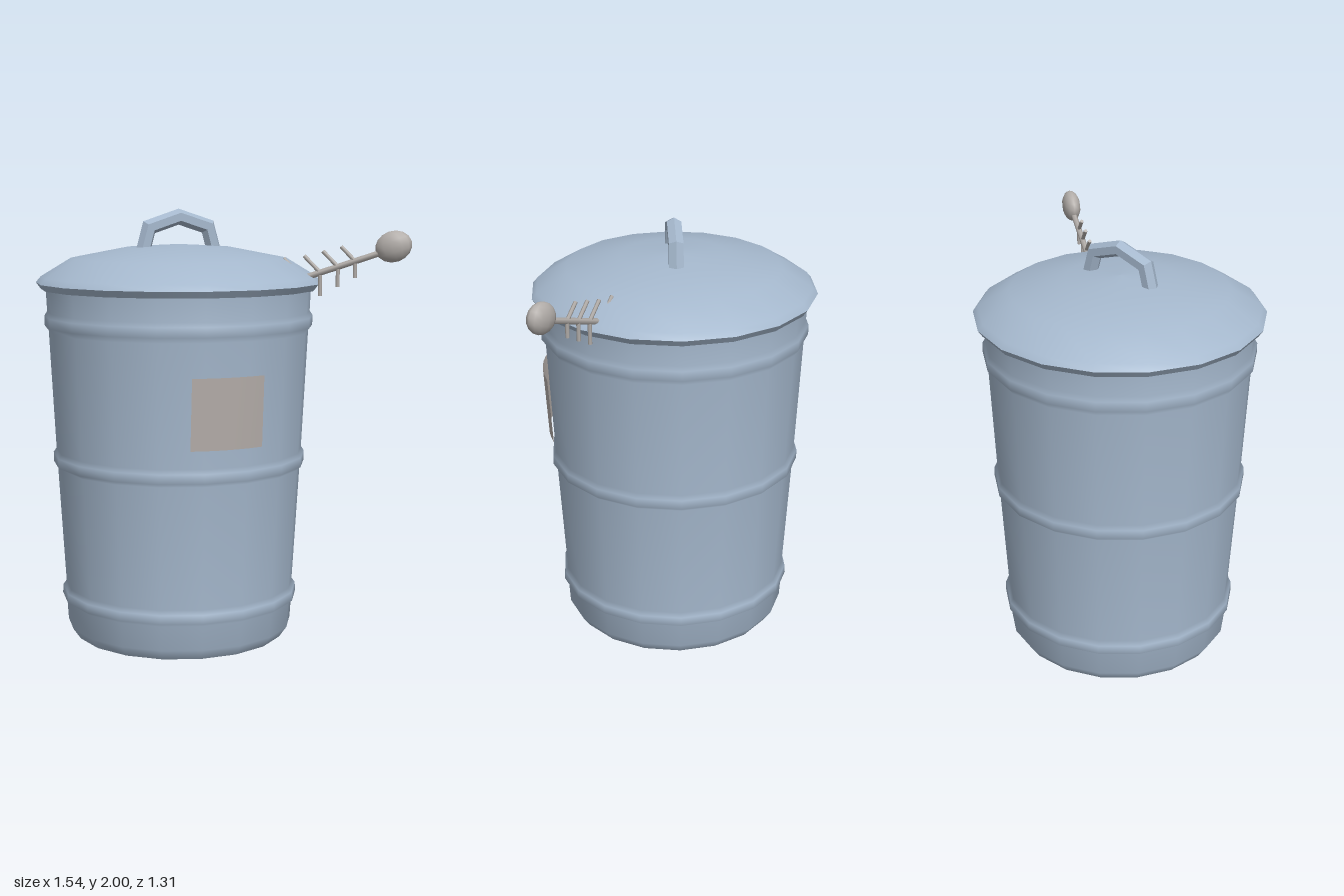
import * as THREE from 'three';

const V2 = (a) => a.map(([r, y]) => new THREE.Vector2(r, y));

export function createModel() {
  const model = new THREE.Group();
  const metal = new THREE.MeshStandardMaterial({ color: 0xa5b8cd });
  metal.name = 'galvanised blue metal';
  const handleMetal = new THREE.MeshStandardMaterial({ color: 0xa5b8cd, flatShading: true });
  handleMetal.name = 'faceted blue metal';
  const paper = new THREE.MeshStandardMaterial({ color: 0xb5aeaa, side: THREE.DoubleSide });
  paper.name = 'label grey';
  const bone = new THREE.MeshStandardMaterial({ color: 0xb3aeaa });
  bone.name = 'bone grey';

  const add = (parent, name, geo, mat) => {
    const m = new THREE.Mesh(geo, mat);
    m.name = name;
    parent.add(m);
    return m;
  };
  const can = new THREE.Group();
  can.name = 'can';
  can.position.set(-0.107, 0, -0.003);
  model.add(can);
  // 18-sided surface of revolution with a corner on the x axis
  const lathe = (name, pts) =>
    add(can, name, new THREE.LatheGeometry(V2(pts), 18, Math.PI / 2), metal);

  // Tapered body with three raised hoops
  lathe('body', [
    [0.498, 0], [0.533, 0.05], [0.54, 0.165], [0.559, 0.18], [0.556, 0.22], [0.541, 0.24],
    [0.574, 0.805], [0.593, 0.822], [0.593, 0.865], [0.579, 0.885],
    [0.607, 1.44], [0.626, 1.465], [0.626, 1.51], [0.613, 1.53], [0.619, 1.65],
  ]);
  lathe('bodyBottom', [[0, 0], [0.498, 0]]);

  // Domed lid with a thin rim
  lathe('lidUnderside', [[0.58, 1.635], [0.642, 1.635]]);
  lathe('lidRim', [[0.642, 1.635], [0.663, 1.665]]);
  lathe('lidDome', [[0.663, 1.665], [0.64, 1.692], [0.5, 1.777], [0.25, 1.825], [0, 1.84]]);

  // Handle: hexagonal section mitred along an angular arch
  const path = [[-0.175, 1.81], [-0.145, 1.918], [0, 1.965], [0.145, 1.918], [0.175, 1.81]]
    .map(([x, y]) => new THREE.Vector2(x, y));
  const pos = [], idx = [];
  path.forEach((p, i) => {
    const a = p.clone().sub(path[Math.max(i - 1, 0)]).normalize();
    const b = path[Math.min(i + 1, 4)].clone().sub(p).normalize();
    const t = a.clone().add(b).normalize();
    const miter = 1 / t.dot(a.lengthSq() > 0 ? a : b);
    for (let k = 0; k < 6; k++) {
      const ang = (k * Math.PI) / 3, off = 0.035 * Math.cos(ang) * miter;
      pos.push(p.x - t.y * off, p.y + t.x * off, 0.038 * Math.sin(ang));
      if (i < 4) {
        const c = i * 6 + k, d = i * 6 + ((k + 1) % 6);
        idx.push(c, d, c + 6, d, d + 6, c + 6);
      }
    }
  });
  const handleGeo = new THREE.BufferGeometry();
  handleGeo.setAttribute('position', new THREE.Float32BufferAttribute(pos, 3));
  handleGeo.setIndex(idx);
  handleGeo.computeVertexNormals();
  add(can, 'handle', handleGeo, handleMetal);

  // Curved label on the front of the body
  const label = new THREE.PlaneGeometry(0.34, 0.32, 6, 1);
  const lp = label.attributes.position;
  for (let i = 0; i < lp.count; i++) {
    const x = lp.getX(i), y = lp.getY(i) + 1.13;
    const r = 0.601 + (y - 0.97) * 0.06;
    lp.setXYZ(i, x, y, Math.sqrt(r * r - x * x));
  }
  label.computeVertexNormals();
  add(can, 'label', label, paper);

  // Fish skeleton sticking out from under the lid
  const fish = new THREE.Group();
  fish.name = 'fishSkeleton';
  model.add(fish);
  // Point in the vertical plane of the fish, from its x and y
  const P = (x, y) => new THREE.Vector3(x, y, 0.36 + (x - 0.39) * 0.73);
  const up = new THREE.Vector3(0, 1, 0);
  const rod = (name, a, b, r, sides) => {
    const d = b.clone().sub(a);
    const m = add(fish, name, new THREE.CylinderGeometry(r, r, d.length(), sides), bone);
    m.position.copy(a).add(b).multiplyScalar(0.5);
    m.quaternion.setFromUnitVectors(up, d.normalize());
  };
  const spineY = (x) => 1.7 + (x - 0.39) * 0.42;
  rod('spine', P(0.3, spineY(0.3)), P(0.68, spineY(0.68)), 0.014, 6);
  [[0.365, 0.09, 0.1], [0.43, 0.075, 0.105], [0.495, 0.07, 0.09], [0.558, 0.065, 0.075]]
    .forEach(([x, h, low]) => {
      rod('upperRib', P(x, spineY(x)), P(x - 0.8 * h, spineY(x) + h), 0.009, 6);
      rod('lowerRib', P(x, spineY(x)), P(x, spineY(x) - low), 0.009, 6);
    });

  // Head: flattened ellipsoid lined up with the spine
  const head = add(fish, 'fishHead', new THREE.SphereGeometry(1, 12, 8), bone);
  const along = P(0.7, spineY(0.7)).sub(P(0.4, spineY(0.4))).normalize();
  const side = new THREE.Vector3().crossVectors(along, up).normalize();
  const top = new THREE.Vector3().crossVectors(side, along);
  head.quaternion.setFromRotationMatrix(new THREE.Matrix4().makeBasis(along, top, side));
  head.scale.set(0.084, 0.07, 0.044);
  head.position.copy(P(0.697, 1.838));

  return model;
}
